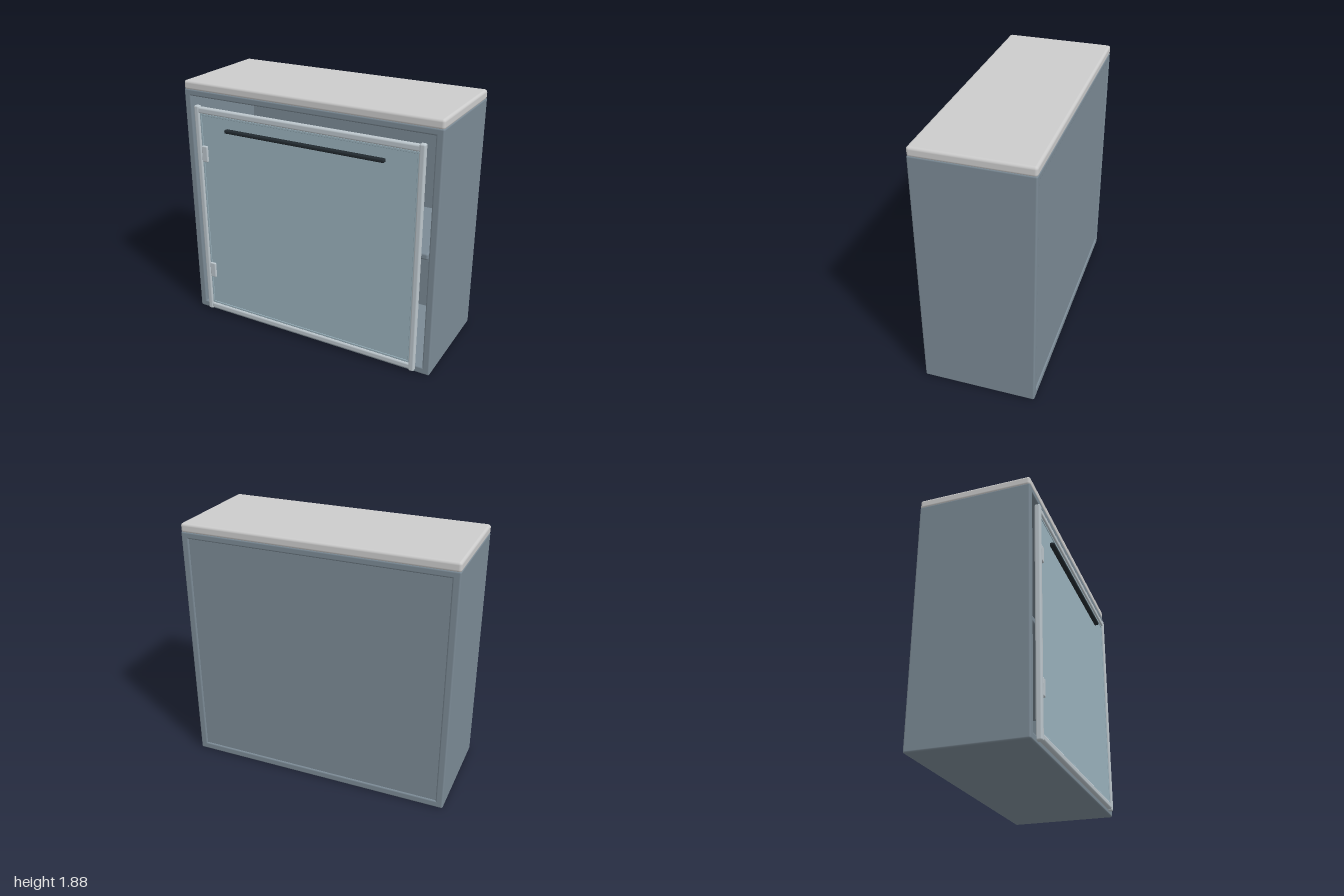
import * as THREE from 'three';
import { RoundedBoxGeometry } from 'three/addons/geometries/RoundedBoxGeometry.js';

const paint = (color) => new THREE.MeshStandardMaterial({ color });
const bodyMat = paint(0x7b8a95);
const topMat = paint(0xcccccc);
const frameMat = paint(0xbcc6cc);
const panelMat = paint(0x9bb3be);
const handleMat = paint(0x222a30);

// Rounded box given by its limits on each axis
function block(parent, name, mat, [x0, x1], [y0, y1], [z0, z1], radius) {
  const geo = new RoundedBoxGeometry(x1 - x0, y1 - y0, z1 - z0, 3, radius);
  const mesh = new THREE.Mesh(geo, mat);
  mesh.position.set((x0 + x1) / 2, (y0 + y1) / 2, (z0 + z1) / 2);
  mesh.name = name;
  parent.add(mesh);
  return mesh;
}

export function createModel() {
  const model = new THREE.Group();
  model.name = 'cabinet';
  const depth = [-0.435, 0.385];

  // Carcass: sides, floor, ceiling, back and shelf
  const carcass = new THREE.Group();
  carcass.name = 'carcass';
  model.add(carcass);
  block(carcass, 'rightSide', bodyMat, [-1, -0.945], [0, 1.815], depth, 0.012);
  block(carcass, 'leftSide', bodyMat, [0.945, 1], [0, 1.815], depth, 0.012);
  block(carcass, 'floorPanel', bodyMat, [-0.99, 0.99], [0, 0.055], depth, 0.012);
  block(carcass, 'ceilingPanel', bodyMat, [-0.99, 0.99], [1.765, 1.815], depth, 0.012);
  block(carcass, 'backPanel', bodyMat, [-0.95, 0.95], [0.05, 1.77], [-0.425, -0.4], 0.004);
  block(carcass, 'shelf', bodyMat, [-0.92, 0.92], [0.87, 0.92], [-0.4, 0.33], 0.015);

  // Worktop
  block(model, 'worktop', topMat, [-1, 1], [1.805, 1.875], depth, 0.02);

  // Framed door
  const door = new THREE.Group();
  door.name = 'door';
  model.add(door);
  block(door, 'doorPanel', panelMat, [-0.86, 0.86], [0.07, 1.66], [0.38, 0.402], 0.004);
  block(door, 'rightStile', frameMat, [-0.897, -0.855], [0.02, 1.71], [0.378, 0.42], 0.012);
  block(door, 'leftStile', frameMat, [0.853, 0.895], [0.02, 1.71], [0.378, 0.42], 0.012);
  block(door, 'topRail', frameMat, [-0.865, 0.865], [1.653, 1.702], [0.378, 0.417], 0.014);
  block(door, 'bottomRail', frameMat, [-0.865, 0.865], [0.03, 0.077], [0.378, 0.417], 0.014);

  // Thin inner bead between frame and panel
  for (const y of [0.085, 1.645]) {
    block(door, 'beadHorizontal', panelMat, [-0.85, 0.85], [y - 0.008, y + 0.008], [0.39, 0.406], 0.003);
  }
  for (const x of [-0.85, 0.85]) {
    block(door, 'beadVertical', panelMat, [x - 0.008, x + 0.008], [0.08, 1.65], [0.39, 0.406], 0.003);
  }

  // Hinges
  for (const y of [0.38, 1.347]) {
    block(door, 'hinge', frameMat, [-0.855, -0.805], [y - 0.062, y + 0.062], [0.385, 0.417], 0.008);
  }

  // Long bar handle
  block(door, 'handle', handleMat, [-0.628, 0.625], [1.543, 1.57], [0.398, 0.435], 0.01);
  return model;
}
